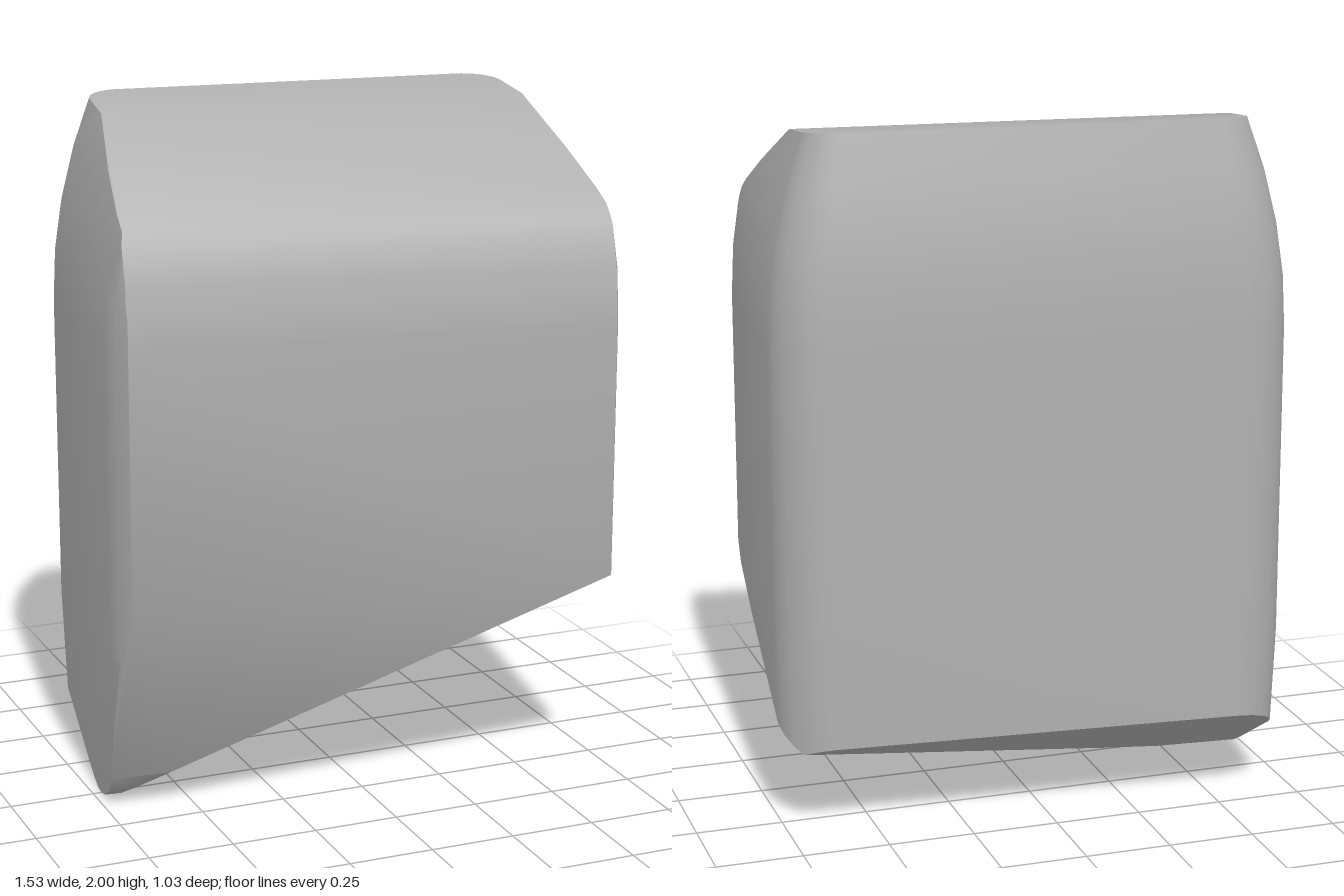
import * as THREE from 'three';
import { toCreasedNormals } from 'three/addons/utils/BufferGeometryUtils.js';

const stone = new THREE.MeshStandardMaterial({ color: 0xb0b0b0 });
stone.name = 'light grey';

// Faces of the solid that is left inside a set of half-spaces
function convexFromPlanes(planes) {
  const corners = [];
  const p = new THREE.Vector3();
  const ab = new THREE.Vector3(), bc = new THREE.Vector3(), ca = new THREE.Vector3();
  for (let i = 0; i < planes.length; i++) {
    for (let j = i + 1; j < planes.length; j++) {
      ab.crossVectors(planes[i].n, planes[j].n);
      if (ab.lengthSq() < 1e-8) continue;
      for (let k = j + 1; k < planes.length; k++) {
        const det = ab.dot(planes[k].n);
        if (Math.abs(det) < 1e-6) continue;
        bc.crossVectors(planes[j].n, planes[k].n);
        ca.crossVectors(planes[k].n, planes[i].n);
        p.set(0, 0, 0).addScaledVector(bc, planes[i].d)
          .addScaledVector(ca, planes[j].d).addScaledVector(ab, planes[k].d).divideScalar(det);
        if (planes.some(q => q.n.dot(p) > q.d + 1e-6)) continue;
        if (!corners.some(c => c.distanceTo(p) < 1e-4)) corners.push(p.clone());
      }
    }
  }
  const out = [];
  for (const { n, d } of planes) {
    const ring = corners.filter(c => Math.abs(n.dot(c) - d) < 2e-4);
    if (ring.length < 3) continue;
    const mid = ring.reduce((s, c) => s.add(c), new THREE.Vector3()).divideScalar(ring.length);
    const e1 = new THREE.Vector3(1, 0, 0);
    if (Math.abs(n.x) > 0.7) e1.set(0, 1, 0);
    e1.cross(n).normalize();
    const e2 = new THREE.Vector3().crossVectors(n, e1);
    const angle = c => Math.atan2(c.clone().sub(mid).dot(e2), c.clone().sub(mid).dot(e1));
    ring.sort((a, b) => angle(a) - angle(b));
    for (let i = 1; i < ring.length - 1; i++) {
      for (const c of [ring[0], ring[i], ring[i + 1]]) out.push(c.x, c.y, c.z);
    }
  }
  const geometry = new THREE.BufferGeometry();
  geometry.setAttribute('position', new THREE.Float32BufferAttribute(out, 3));
  return geometry;
}

export function createModel() {
  const planes = [];
  const addPlane = (x, y, z, d) => {
    const n = new THREE.Vector3(x, y, z);
    const l = n.length();
    n.divideScalar(l);
    d /= l;
    if (!planes.some(q => q.n.distanceTo(n) < 1e-4 && Math.abs(q.d - d) < 1e-4)) planes.push({ n, d });
  };

  // Side profile (z, y) from the rear foot round the keel, up the front and over the roof
  const profile = [
    [-0.471, 0.27], [-0.09, 0.05], [-0.03, 0.018], [0.02, 0], [0.06, 0], [0.11, 0.012],
    [0.165, 0.045], [0.21, 0.10], [0.452, 0.65], [0.452, 1.42], [0.445, 1.5],
    [0.428, 1.59], [0.403, 1.67], [0.371, 1.73], [-0.126, 1.973], [-0.387, 2.0],
  ];
  for (let i = 0; i < profile.length - 1; i++) {
    const [z0, y0] = profile[i], [z1, y1] = profile[i + 1];
    const nz = y1 - y0, ny = z0 - z1;
    addPlane(0, ny, nz, ny * y0 + nz * z0);
  }

  // Upright walls: each direction gets a chain of planes that leans in towards the top
  const levels = [0, 0.5, 1.4, 1.55, 1.7, 1.85, 2.0];
  const lean = y => Math.max(0, (y - 1.4) / 0.6) ** 2;
  const foot = y => 0.02 * Math.max(0, 1 - y / 0.5);
  const addWall = (nx, nz, reach) => {
    for (let i = 0; i < levels.length - 1; i++) {
      const [y0, y1] = [levels[i], levels[i + 1]];
      const k = (reach(y0) - reach(y1)) / (y1 - y0);
      for (const s of [1, -1]) addPlane(s * nx, k, nz, reach(y0) + k * y0);
    }
  };

  // Sides, rounded rear corners and back
  const steps = 6;
  for (let i = 0; i <= steps; i++) {
    const a = i / steps * Math.PI / 2;
    const c = i === steps ? 0 : Math.cos(a), s = Math.sin(a);
    addWall(c, -s, y => {
      const t = lean(y), r = 0.16 - 0.06 * t;
      return c * (0.742 - 0.115 * t - foot(y) - r) + s * (0.471 - 0.084 * t - r) + r;
    });
  }

  // Softened front corners
  const edge = [[0.742, 0.30], [0.735, 0.40], [0.711, 0.452]];
  for (let i = 0; i < 2; i++) {
    const [x0, z0] = edge[i], [x1, z1] = edge[i + 1];
    const l = Math.hypot(x1 - x0, z1 - z0);
    const nx = (z1 - z0) / l, nz = (x0 - x1) / l;
    addWall(nx, nz, y => nx * (x0 - 0.115 * lean(y) - foot(y)) + nz * z0);
  }

  // Slanting cut under the left side
  addPlane(0.3516, -1, 0.4414, -0.2005);

  const body = new THREE.Mesh(toCreasedNormals(convexFromPlanes(planes), 0.7), stone);
  body.name = 'body';
  body.rotation.y = -0.085;

  const model = new THREE.Group();
  model.name = 'facetedBlock';
  model.add(body);
  return model;
}
